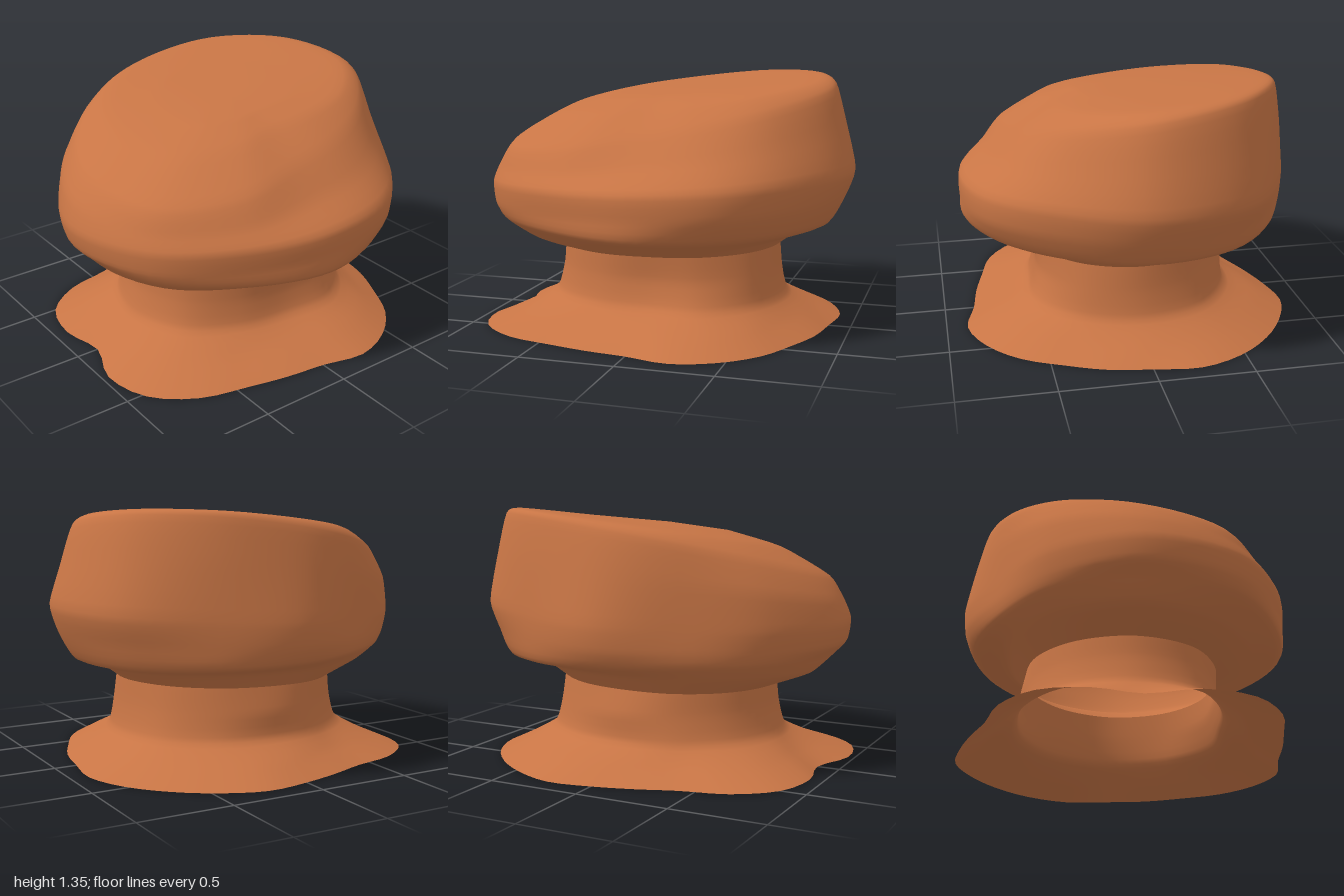
import * as THREE from 'three';

const AROUND = 72; // points around each cross-section
const STEPS = 4; // loops between two neighbouring cross-sections

// Cross-section: evenly spaced radii from +x towards +z, on a plane tilted by slopeX and slopeZ
function ring(y, slopeX, slopeZ, radii) {
  const points = radii.map((r, k) => {
    const a = (k * Math.PI * 2) / radii.length;
    const x = r * Math.cos(a), z = r * Math.sin(a);
    return new THREE.Vector3(x, y + slopeX * x + slopeZ * z, z);
  });
  return new THREE.CatmullRomCurve3(points, true);
}

// Skin through the cross-sections, from bottom to top, with fairly tight shoulders
function loft(rings, apex) {
  const loops = (rings.length - 1) * STEPS;
  const pos = [], index = [], columns = [];
  for (let j = 0; j < AROUND; j++) {
    const points = rings.map((c) => c.getPoint(j / AROUND));
    columns.push(new THREE.CatmullRomCurve3(points, false, 'catmullrom', 0.3));
  }
  for (let i = 0; i <= loops; i++) {
    for (const column of columns) pos.push(...column.getPoint(i / loops).toArray());
  }
  for (let i = 0; i < loops; i++) {
    for (let j = 0; j < AROUND; j++) {
      const a = i * AROUND + j, b = i * AROUND + ((j + 1) % AROUND);
      index.push(a, a + AROUND, b, b, a + AROUND, b + AROUND);
    }
  }
  // close the top with a fan
  if (apex) {
    const tip = pos.length / 3, last = loops * AROUND;
    pos.push(...apex);
    for (let j = 0; j < AROUND; j++) index.push(last + j, tip, last + ((j + 1) % AROUND));
  }
  const geo = new THREE.BufferGeometry();
  geo.setAttribute('position', new THREE.Float32BufferAttribute(pos, 3));
  geo.setIndex(index);
  geo.computeVertexNormals();
  return geo;
}

export function createModel() {
  const model = new THREE.Group();
  model.name = 'balancedRock';
  const sandstone = new THREE.MeshStandardMaterial({ color: 0xc87545, side: THREE.DoubleSide });
  sandstone.name = 'sandstone';

  const add = (name, geo) => {
    const mesh = new THREE.Mesh(geo, sandstone);
    mesh.name = name;
    model.add(mesh);
  };

  const neckTop = ring(0.44, 0.02, 0, [0.6, 0.58, 0.54, 0.5, 0.53, 0.59, 0.61, 0.59, 0.56, 0.53, 0.55, 0.58]);

  // Spreading, lobed foot and narrow neck, open underneath
  add('pedestal', loft([
    ring(0.01, 0, 0, [
      0.88, 0.87, 0.87, 0.91, 0.93, 0.92, 0.84, 0.84, 0.88, 0.98, 1.04, 1.0,
      0.88, 0.96, 1.0, 0.94, 0.84, 0.83, 0.86, 0.92, 0.93, 0.94, 0.95, 0.94]),
    ring(0.085, 0, 0, [
      0.76, 0.74, 0.74, 0.77, 0.78, 0.75, 0.69, 0.67, 0.69, 0.76, 0.82, 0.81,
      0.76, 0.79, 0.81, 0.77, 0.7, 0.69, 0.72, 0.76, 0.77, 0.78, 0.79, 0.78]),
    ring(0.17, 0, 0, [0.64, 0.63, 0.61, 0.53, 0.56, 0.64, 0.66, 0.64, 0.6, 0.57, 0.6, 0.64]),
    ring(0.31, 0, 0, [0.61, 0.6, 0.55, 0.49, 0.53, 0.6, 0.62, 0.6, 0.57, 0.56, 0.57, 0.6]),
    neckTop,
  ]));

  // Overhanging boulder with a tilted top, low at the front left and high at the back right
  add('boulder', loft([
    neckTop,
    ring(0.515, 0.01, -0.03, [0.7, 0.67, 0.66, 0.66, 0.7, 0.78, 0.82, 0.76, 0.69, 0.64, 0.66, 0.7]),
    ring(0.59, -0.02, -0.01, [0.86, 0.81, 0.83, 0.87, 0.87, 0.93, 0.92, 0.86, 0.79, 0.82, 0.85, 0.88]),
    ring(0.69, 0.02, 0, [0.94, 0.88, 0.9, 0.885, 0.89, 0.97, 0.98, 0.89, 0.81, 0.87, 0.88, 0.94]),
    ring(0.82, 0.04, 0, [0.99, 0.9, 0.9, 0.88, 0.9, 0.98, 1.0, 0.91, 0.81, 0.88, 0.89, 0.99]),
    ring(1.0, 0.1, -0.1, [0.93, 0.81, 0.76, 0.73, 0.83, 0.94, 0.96, 0.89, 0.8, 0.83, 0.87, 0.94]),
    ring(1.16, 0.14, -0.15, [0.87, 0.72, 0.61, 0.58, 0.73, 0.87, 0.86, 0.81, 0.77, 0.78, 0.84, 0.89]),
    ring(1.24, 0.11, -0.11, [0.77, 0.6, 0.44, 0.38, 0.48, 0.6, 0.62, 0.66, 0.69, 0.71, 0.78, 0.81]),
    ring(1.275, 0.08, -0.09, [0.4, 0.32, 0.24, 0.22, 0.26, 0.32, 0.32, 0.34, 0.37, 0.37, 0.4, 0.42]),
  ], [0, 1.285, 0]));

  return model;
}
